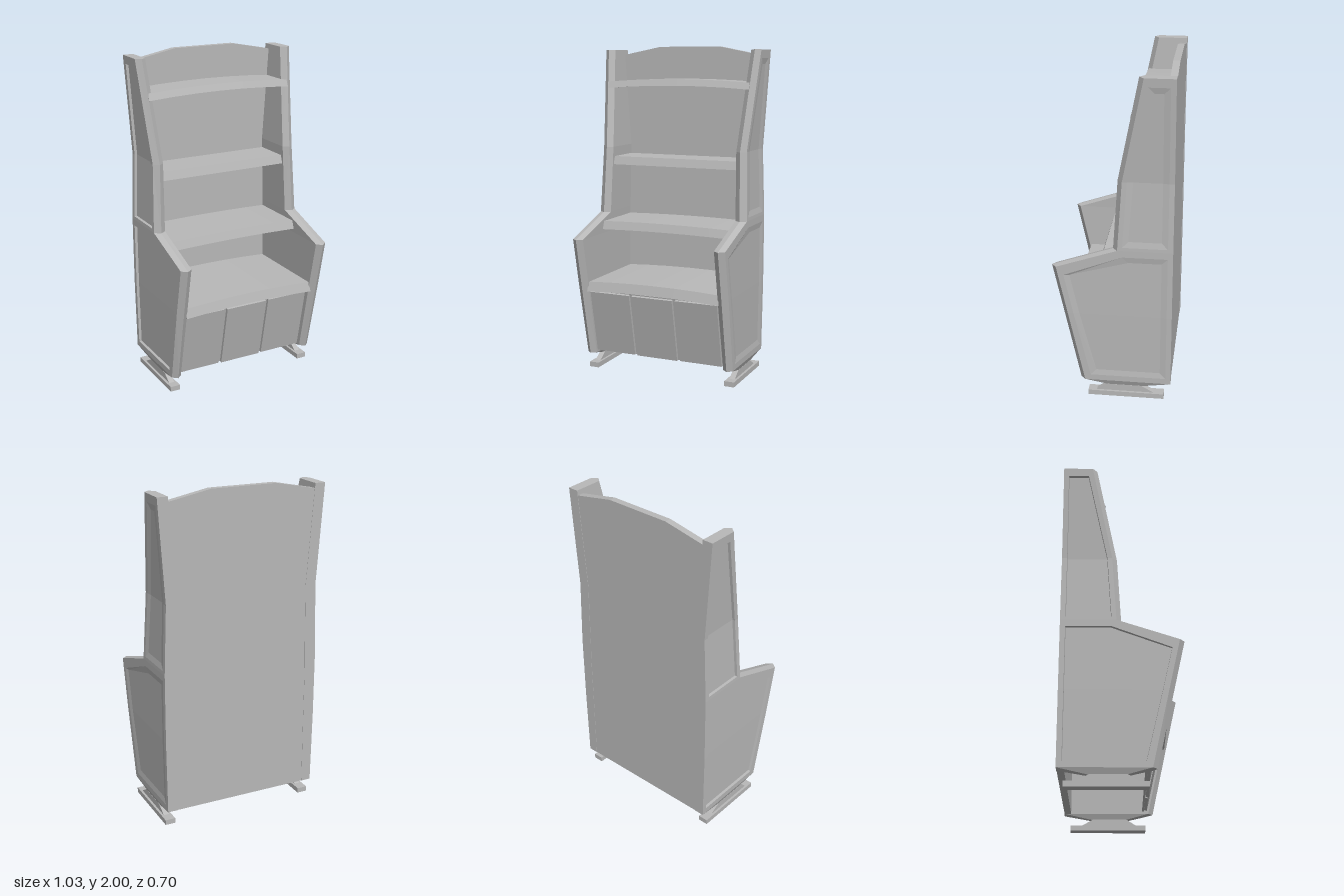
import * as THREE from 'three';

const grey = new THREE.MeshStandardMaterial({ color: 0xb8b8b8, side: THREE.DoubleSide });
grey.name = 'plain grey';

// Side panel rows from bottom to top: height, back z, front ridge z, centre x, half width
const ROWS = [
  [0.07, -0.18, 0.05, 0.455, 0.015],
  [0.105, -0.35, 0.19, 0.455, 0.03],
  [0.55, -0.35, 0.285, 0.457, 0.034],
  [0.85, -0.35, 0.35, 0.457, 0.034],
  [0.97, -0.35, -0.005, 0.455, 0.036],
  [1.38, -0.35, -0.03, 0.443, 0.033],
  [1.98, -0.35, -0.15, 0.485, 0.032],
];
const RIDGE = 0.027;

// Inset outlines on the outer faces: height, back z, front z
const LOWER_INSET = [[0.14, -0.32, 0.13], [0.55, -0.32, 0.225], [0.8, -0.32, 0.28], [0.93, -0.32, -0.06]];
const UPPER_INSET = [[0.99, -0.32, -0.06], [1.38, -0.32, -0.085], [1.93, -0.32, -0.2]];

// Interpolate a row value at height y
function rowValue(y, k) {
  for (let i = 1; i < ROWS.length; i++) {
    const a = ROWS[i - 1], b = ROWS[i];
    if (y <= b[0]) return THREE.MathUtils.lerp(a[k], b[k], (y - a[0]) / (b[0] - a[0]));
  }
  return ROWS[ROWS.length - 1][k];
}
const outerX = (y) => rowValue(y, 3) + rowValue(y, 4);

function sidePanel(side, depth, slope) {
  const pos = [];
  const tri = (...p) => {
    if (side < 0) p.reverse();
    p.forEach(([x, y, z]) => pos.push(side * x, y, z));
  };
  const quad = (a, b, c, d) => { tri(a, b, c); tri(a, c, d); };

  // Body: five-sided sections with a ridged front edge
  const sections = ROWS.map(([y, back, front, x, h]) => [
    [x - h, y, back], [x - h, y, front - RIDGE], [x, y, front],
    [x + h, y, front - RIDGE], [x + h, y, back],
  ]);
  for (let i = 0; i < sections.length - 1; i++) {
    for (let j = 0; j < 5; j++) {
      if (j === 3 && i > 0) continue; // outer face is framed below
      const k = (j + 1) % 5;
      quad(sections[i][j], sections[i][k], sections[i + 1][k], sections[i + 1][j]);
    }
  }
  const top = sections[sections.length - 1], base = sections[0];
  for (let j = 1; j < 4; j++) {
    tri(top[0], top[j], top[j + 1]);
    tri(base[0], base[j + 1], base[j]);
  }

  // Outer face: frame, recess walls and sunken field
  const loop = (rows, sink) => {
    const at = (y, z) => [outerX(y) - sink, y, z];
    return [...rows.map(([y, b]) => at(y, b)), ...rows.map(([y, , f]) => at(y, f)).reverse()];
  };
  const band = (a, b) => a.forEach((p, k) => {
    const n = (k + 1) % a.length;
    quad(p, a[n], b[n], b[k]);
  });
  const framed = (outline, inset) => {
    const last = inset.length - 1;
    const sunk = inset.map(([y, b, f], i) =>
      [y + (i === 0 ? slope : i === last ? -slope : 0), b + slope, f - slope]);
    const floor = loop(sunk, depth);
    band(loop(outline, 0), loop(inset, 0));
    band(loop(inset, 0), floor);
    for (let i = 0; i < last; i++) {
      const n = floor.length - 1;
      quad(floor[n - i], floor[i], floor[i + 1], floor[n - i - 1]);
    }
  };
  const outline = ROWS.map(([y, b, f]) => [y, b, f - RIDGE]);
  framed(outline.slice(1, 5), LOWER_INSET);
  framed(outline.slice(4), UPPER_INSET);

  const geo = new THREE.BufferGeometry();
  geo.setAttribute('position', new THREE.Float32BufferAttribute(pos, 3));
  geo.computeVertexNormals();
  return geo;
}

// Shelf board with a sloped front edge and a slight upward bow
function board(width, bottom, topY, back, front, bow) {
  const h = topY - bottom, d = front - back;
  const geo = new THREE.BoxGeometry(width, h, d, 6, 1, 1).toNonIndexed();
  const p = geo.attributes.position;
  for (let i = 0; i < p.count; i++) {
    const x = p.getX(i), y = p.getY(i), z = p.getZ(i);
    p.setY(i, y + bow * (1 - (2 * x / width) ** 2));
    if (z > 0 && y > 0) p.setZ(i, z - 0.016);
  }
  geo.translate(0, (bottom + topY) / 2, (back + front) / 2);
  geo.computeVertexNormals();
  return geo;
}

export function createModel() {
  const model = new THREE.Group();
  model.name = 'cabinet';
  const add = (name, geo) => {
    const mesh = new THREE.Mesh(geo, grey);
    mesh.name = name;
    model.add(mesh);
    return mesh;
  };

  // Side panels
  add('leftSidePanel', sidePanel(1, 0.006, 0.035));
  add('rightSidePanel', sidePanel(-1, 0.016, 0.002));

  // Back panel with an arched top
  const edge = ROWS.slice(1, 6).map((r) => [r[3], r[0]]);
  edge.push([0.481, 1.945], [0.2, 2]);
  const outline = [...edge, ...edge.map(([x, y]) => [-x, y]).reverse()];
  const backShape = new THREE.Shape(outline.map(([x, y]) => new THREE.Vector2(x, y)));
  add('backPanel', new THREE.ExtrudeGeometry(backShape, { depth: 0.04, bevelEnabled: false }))
    .position.z = -0.348;

  // Shelves and worktop
  add('topShelf', board(0.935, 1.745, 1.785, -0.32, -0.1, 0.018));
  add('middleShelf', board(0.84, 1.27, 1.32, -0.32, -0.062, 0));
  add('lowerShelf', board(0.86, 0.875, 0.925, -0.32, 0.073, 0.008));
  add('worktop', board(0.86, 0.52, 0.578, -0.32, 0.268, 0.014));

  // Cupboard front, leaning outward at the top
  const cupboard = new THREE.Group();
  cupboard.name = 'cupboardFront';
  cupboard.position.set(0, 0.318, 0.185);
  cupboard.rotation.x = 0.21;
  model.add(cupboard);
  const slab = (name, x, w, h, d, z) => {
    const mesh = new THREE.Mesh(new THREE.BoxGeometry(w, h, d), grey);
    mesh.name = name;
    mesh.position.set(x, 0, z);
    cupboard.add(mesh);
  };
  slab('cupboardBacking', 0, 0.86, 0.41, 0.012, -0.012);
  [[-0.292, 0.262], [-0.01, 0.268], [0.276, 0.268]].forEach(([x, w], i) =>
    slab(`door${i + 1}`, x, w, 0.4, 0.018, i === 1 ? 0.006 : 0.002));

  // Feet: a wide runner with a narrower raised block
  const blockShape = new THREE.Shape([[-0.25, 0.03], [0.095, 0.03], [0.03, 0.072], [-0.175, 0.072]]
    .map(([z, y]) => new THREE.Vector2(-z, y)));
  for (const side of [1, -1]) {
    const label = side > 0 ? 'left' : 'right';
    add(`${label}FootRunner`, new THREE.BoxGeometry(0.062, 0.031, 0.455))
      .position.set(side * 0.455, 0.0155, -0.083);
    const block = new THREE.ExtrudeGeometry(blockShape, { depth: 0.034, bevelEnabled: false });
    block.translate(0, 0, -0.017);
    block.rotateY(Math.PI / 2);
    add(`${label}FootBlock`, block).position.x = side * 0.455;
  }

  return model;
}
